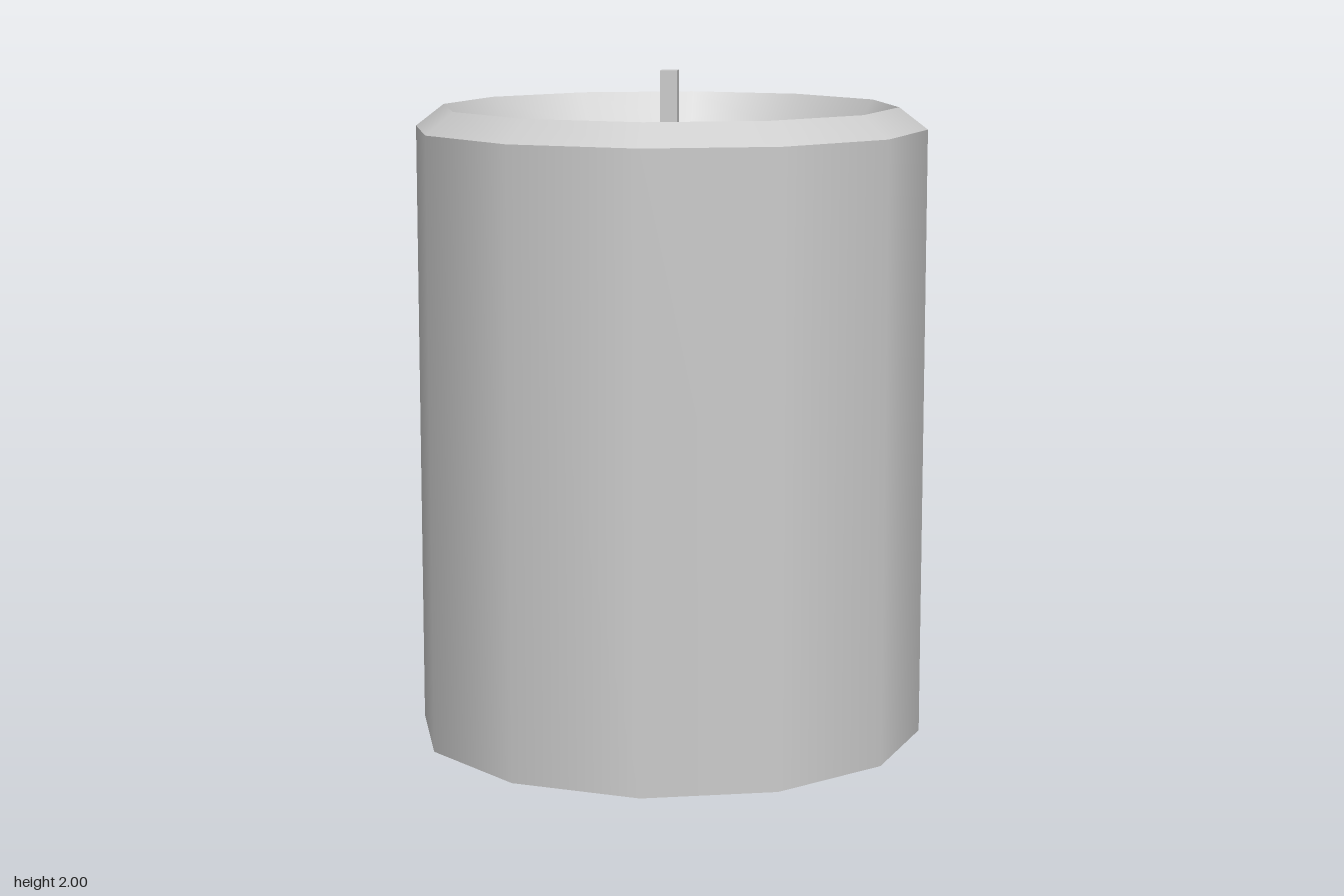
import * as THREE from 'three';

const SIDES = 12;

export function createModel() {
  const model = new THREE.Group();
  model.name = 'candle';

  const wax = new THREE.MeshStandardMaterial({ color: 0xcccccc, side: THREE.DoubleSide });
  wax.name = 'pale grey wax';

  const add = (name, geometry) => {
    const mesh = new THREE.Mesh(geometry, wax);
    mesh.name = name;
    model.add(mesh);
    return mesh;
  };

  // Each band is its own ring: smooth around, with a sharp edge to the next one
  const ring = (name, r0, y0, r1, y1) =>
    add(name, new THREE.LatheGeometry([new THREE.Vector2(r0, y0), new THREE.Vector2(r1, y1)], SIDES));

  // Body is open underneath
  ring('bodyWall', 0.765, 0, 0.765, 1.83);
  ring('outerBevel', 0.765, 1.83, 0.68, 1.895);
  ring('innerRim', 0.68, 1.895, 0.615, 1.79);

  // Recessed top surface
  add('topSurface', new THREE.CircleGeometry(0.615, SIDES).rotateX(-Math.PI / 2)).position.y = 1.79;

  // Square wick standing on the top surface
  add('wick', new THREE.BoxGeometry(0.05, 0.21, 0.05)).position.y = 1.895;

  return model;
}
